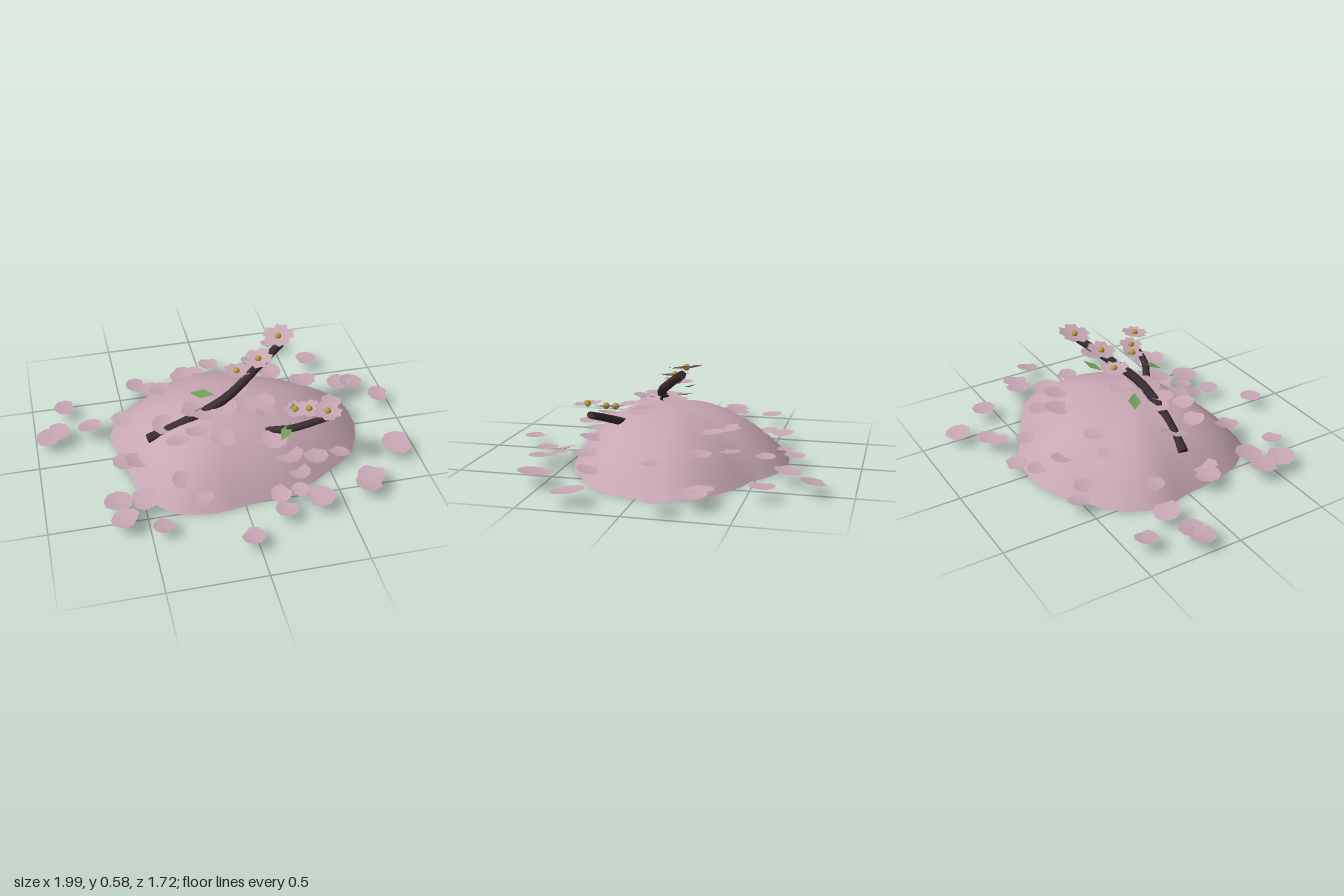
import * as THREE from 'three';
import { mergeVertices } from 'three/addons/utils/BufferGeometryUtils.js';

const material = (name, color, side = THREE.DoubleSide) =>
  Object.assign(new THREE.MeshStandardMaterial({ color, side }), { name });

// Mound outline: radius every 18 degrees, from +x towards +z
const RADII = [0.75, 0.70, 0.60, 0.55, 0.51, 0.51, 0.56, 0.61, 0.60, 0.565,
  0.56, 0.63, 0.63, 0.605, 0.625, 0.62, 0.615, 0.595, 0.67, 0.77];
const HEIGHT = 0.29;

function moundRadius(x, z) {
  const t = ((Math.atan2(z, x) / (2 * Math.PI) + 1) % 1) * RADII.length;
  const i = Math.floor(t) % RADII.length;
  return THREE.MathUtils.lerp(RADII[i], RADII[(i + 1) % RADII.length], t - Math.floor(t));
}
const rise = (r) => HEIGHT * Math.max(0, 1 - Math.pow(r, 2.5));
const moundHeight = (x, z) => rise(Math.hypot(x, z) / moundRadius(x, z));

// Open dome whose rings follow the uneven outline
function moundGeometry() {
  const profile = [];
  for (let i = 0; i <= 12; i++) {
    const r = 1 - i / 12;
    profile.push(new THREE.Vector2(r, rise(r)));
  }
  let g = new THREE.LatheGeometry(profile, 40);
  const p = g.attributes.position;
  for (let i = 0; i < p.count; i++) {
    const x = p.getX(i), z = p.getZ(i), k = moundRadius(x, z);
    p.setX(i, x * k);
    p.setZ(i, z * k);
  }
  g.deleteAttribute('uv');
  g.deleteAttribute('normal');
  g = mergeVertices(g, 1e-4);
  g.computeVertexNormals();
  return g;
}

// Cupped disc with a small notch at its tip
function petalGeometry(sides, notch, cup, width = 1, offset = 0) {
  const g = new THREE.CircleGeometry(1, sides);
  const p = g.attributes.position;
  p.setX(1, notch);
  p.setX(p.count - 1, notch);
  g.scale(1, width, 1).translate(offset, 0, 0).rotateX(-Math.PI / 2);
  for (let i = 0; i < p.count; i++) p.setY(i, cup * (p.getX(i) ** 2 + p.getZ(i) ** 2));
  g.computeVertexNormals();
  return g;
}

// Fallen petals: x, z, radius
const PETALS_OUTSIDE = [
  [0.48, -0.80, 0.07], [0.63, -0.58, 0.065], [0.355, -0.685, 0.06], [0.30, -0.64, 0.055],
  [0.05, -0.66, 0.06], [-0.05, -0.59, 0.055], [-0.40, -0.54, 0.06], [-0.82, -0.415, 0.06],
  [0.75, -0.31, 0.07], [0.82, -0.295, 0.07], [0.935, -0.155, 0.062], [-0.93, -0.175, 0.07],
  [-0.88, -0.20, 0.07], [-0.70, -0.22, 0.07], [0.89, 0.28, 0.085], [-0.635, 0.42, 0.075],
  [-0.615, 0.545, 0.075], [-0.50, 0.42, 0.075], [-0.44, 0.625, 0.055], [-0.03, 0.79, 0.06],
  [0.18, 0.64, 0.06], [0.18, 0.53, 0.055], [0.28, 0.53, 0.05], [0.365, 0.60, 0.075],
  [0.645, 0.55, 0.075], [0.67, 0.50, 0.075],
];
const PETALS_ON_MOUND = [
  [0.20, -0.525, 0.06], [-0.33, -0.465, 0.06], [-0.13, -0.485, 0.06], [-0.175, -0.315, 0.06],
  [-0.29, -0.29, 0.07], [0.19, -0.335, 0.08], [0.325, -0.28, 0.065], [0.51, -0.25, 0.075],
  [0.35, -0.37, 0.06], [0.62, -0.055, 0.06], [-0.53, -0.19, 0.06], [-0.555, 0.12, 0.07],
  [-0.50, 0.14, 0.07], [-0.29, 0.21, 0.06], [-0.19, 0.21, 0.06], [-0.065, 0.27, 0.065],
  [-0.18, 0.05, 0.07], [-0.33, 0.055, 0.07], [-0.02, 0.10, 0.07], [0.085, 0.11, 0.07],
  [0.19, 0.13, 0.06], [0.06, -0.03, 0.07], [0.19, 0.08, 0.07], [-0.305, 0.40, 0.055],
  [-0.22, 0.49, 0.06], [0.27, 0.35, 0.08], [0.31, 0.40, 0.06], [0.56, 0.29, 0.06],
  [0.415, 0.33, 0.07], [0.20, 0.295, 0.07], [-0.13, 0.12, 0.06],
];

// Blossoms: x, y, z, radius
const BLOSSOMS = [
  [0.08, 0.43, -0.05, 0.09], [0.20, 0.485, -0.06, 0.09], [0.33, 0.55, -0.15, 0.1],
  [0.33, 0.335, 0.215, 0.07], [0.395, 0.35, 0.245, 0.075], [0.47, 0.375, 0.315, 0.085],
];

// Leaves: x, y, z, half length, heading
const LEAVES = [
  [-0.11, 0.325, -0.04, 0.07, -0.5], [0.17, 0.43, -0.13, 0.06, 0.6],
  [0.26, 0.27, 0.30, 0.06, 0.9], [0.32, 0.335, 0.21, 0.045, 1.3],
];

export function createModel() {
  const model = new THREE.Group();
  model.name = 'petalMound';
  const moundPink = material('moundPink', 0xc7a6b3);
  const petalPink = material('petalPink', 0xc7a6b3);
  const bark = material('bark', 0x3b2d33, THREE.FrontSide);
  const leafGreen = material('leafGreen', 0x6f9f58);
  const stamenGold = material('stamenGold', 0xb89b35, THREE.FrontSide);

  let seed = 11;
  const random = () => (seed = (seed * 16807) % 2147483647) / 2147483647;
  const spread = (a) => (random() * 2 - 1) * a;

  const add = (parent, name, geometry, mat) => {
    const mesh = new THREE.Mesh(geometry, mat);
    mesh.name = name;
    parent.add(mesh);
    return mesh;
  };

  add(model, 'mound', moundGeometry(), moundPink);

  // Loose petals lying on and around the mound
  const petals = new THREE.Group();
  petals.name = 'fallenPetals';
  model.add(petals);
  const discGeometry = petalGeometry(9, 0.76, 0.14);
  const placePetal = ([x, z, r], y) => {
    const petal = add(petals, 'fallenPetal', discGeometry, petalPink);
    petal.position.set(x, y, z);
    petal.rotation.set(spread(0.16), random() * 6.28, spread(0.16), 'XYZ');
    petal.scale.setScalar(r);
  };
  PETALS_OUTSIDE.forEach((p) => placePetal(p, 0.06 + spread(0.006)));
  PETALS_ON_MOUND.forEach((p) =>
    placePetal(p, Math.max(0.065, moundHeight(p[0], p[1]) + 0.025 + spread(0.015))));

  // Tapered twigs with closed ends
  const addTwig = (name, points, r0, r1) => {
    const twig = new THREE.Group();
    twig.name = name;
    model.add(twig);
    const curve = new THREE.CatmullRomCurve3(points.map((p) => new THREE.Vector3(...p)));
    const steps = 16, sides = 8;
    const g = new THREE.TubeGeometry(curve, steps, 1, sides);
    const p = g.attributes.position, v = new THREE.Vector3();
    for (let i = 0; i < p.count; i++) {
      const t = Math.floor(i / (sides + 1)) / steps;
      const c = curve.getPointAt(t);
      v.fromBufferAttribute(p, i).sub(c).multiplyScalar(r0 + (r1 - r0) * t).add(c);
      p.setXYZ(i, v.x, v.y, v.z);
    }
    add(twig, 'stem', g, bark);
    [[0, r0, -1], [1, r1, 1]].forEach(([t, r, dir]) => {
      const cap = add(twig, 'cutEnd', new THREE.CircleGeometry(r, sides), bark);
      const c = curve.getPointAt(t);
      cap.position.copy(c);
      cap.lookAt(c.clone().addScaledVector(curve.getTangentAt(t), dir));
    });
  };
  addTwig('longTwig', [[-0.42, 0.15, 0.06], [-0.2, 0.26, 0.08], [0, 0.355, 0.06],
    [0.17, 0.44, -0.03], [0.34, 0.52, -0.13]], 0.028, 0.021);
  addTwig('shortTwig', [[0.1, 0.18, 0.17], [0.19, 0.225, 0.22], [0.3, 0.27, 0.28],
    [0.48, 0.325, 0.3]], 0.022, 0.018);

  // Five-petalled blossoms with a gold centre
  const blossomPetal = petalGeometry(8, 0.6, 0.07, 0.8, 1).scale(0.5, 0.5, 0.5);
  const stamen = new THREE.SphereGeometry(0.017, 10, 8);
  BLOSSOMS.forEach(([x, y, z, r]) => {
    const blossom = new THREE.Group();
    blossom.name = 'blossom';
    blossom.position.set(x, y, z);
    blossom.rotation.set(spread(0.15), 0, 0.12 + spread(0.1));
    model.add(blossom);
    const turn = random() * 6.28;
    for (let i = 0; i < 5; i++) {
      const petal = add(blossom, 'blossomPetal', blossomPetal, petalPink);
      petal.scale.setScalar(r);
      petal.rotation.y = turn + (i * 2 * Math.PI) / 5;
    }
    add(blossom, 'blossomCentre', stamen, stamenGold).position.y = 0.006;
  });

  // Diamond leaves folded along the middle
  const leaf = new THREE.CircleGeometry(1, 4).rotateX(-Math.PI / 2).scale(1, 1, 0.5);
  leaf.attributes.position.setY(0, -0.1);
  leaf.computeVertexNormals();
  LEAVES.forEach(([x, y, z, r, heading]) => {
    const mesh = add(model, 'leaf', leaf, leafGreen);
    mesh.position.set(x, y, z);
    mesh.rotation.set(0.15, heading, 0.2);
    mesh.scale.setScalar(r);
  });

  return model;
}
